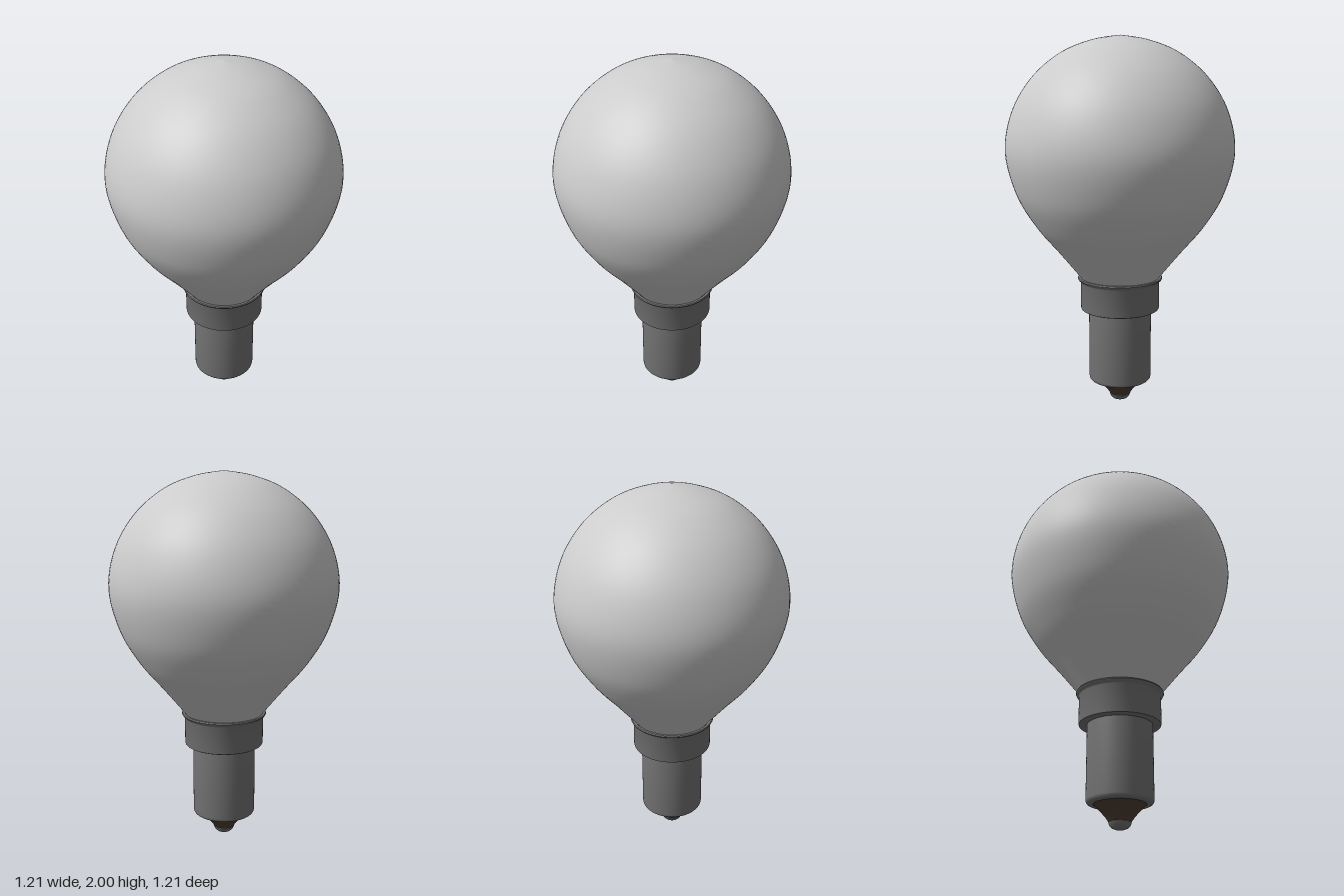
import * as THREE from 'three';
import { toCreasedNormals } from 'three/addons/utils/BufferGeometryUtils.js';

const vectors = (pairs) => pairs.map(([r, y]) => new THREE.Vector2(r, y));

// Solid of revolution around y; profile runs from bottom to top
function turned(name, points, color, crease) {
  let geometry = new THREE.LatheGeometry(points, 96);
  if (crease) geometry = toCreasedNormals(geometry, crease);
  const material = new THREE.MeshStandardMaterial({ color, side: THREE.DoubleSide });
  const mesh = new THREE.Mesh(geometry, material);
  mesh.name = name;
  return mesh;
}

export function createModel() {
  const group = new THREE.Group();
  group.name = 'lightBulb';
  const metal = 0x757575;

  // Glass globe tapering into the neck, with a faint tip on top
  const glass = new THREE.SplineCurve(vectors([
    [0.19, 0.68], [0.225, 0.725], [0.335, 0.86], [0.455, 1.005], [0.555, 1.18], [0.607, 1.4],
    [0.567, 1.61], [0.46, 1.785], [0.31, 1.91], [0.15, 1.975], [0, 2],
  ])).getPoints(72);
  glass[glass.length - 1].x = 0;
  group.add(turned('glassGlobe', glass, 0xcccccc));

  // Collar with a rolled lip gripping the neck
  group.add(turned('collar', vectors([
    [0.16, 0.532], [0.208, 0.532], [0.213, 0.535], [0.215, 0.541], [0.215, 0.685],
    [0.219, 0.692], [0.228, 0.699], [0.231, 0.706], [0.228, 0.712], [0.216, 0.712], [0.2, 0.695],
  ]), metal, 0.7));

  // Plain cylindrical cap with a rounded lower rim
  group.add(turned('capShell', vectors([
    [0.12, 0.125], [0.155, 0.125], [0.163, 0.128], [0.169, 0.135], [0.171, 0.145], [0.171, 0.54],
  ]), metal, 0.7));

  // Tapered insulator under the cap
  group.add(turned('insulator', vectors([
    [0.04, 0.035], [0.056, 0.038], [0.075, 0.066], [0.105, 0.098], [0.134, 0.126],
  ]), 0x4f4033, 0.7));

  // Domed contact at the bottom
  group.add(turned('contactTip', vectors([
    [0, 0], [0.022, 0.002], [0.04, 0.009], [0.052, 0.021], [0.058, 0.036], [0.05, 0.044], [0, 0.046],
  ]), metal, 0.9));

  return group;
}
